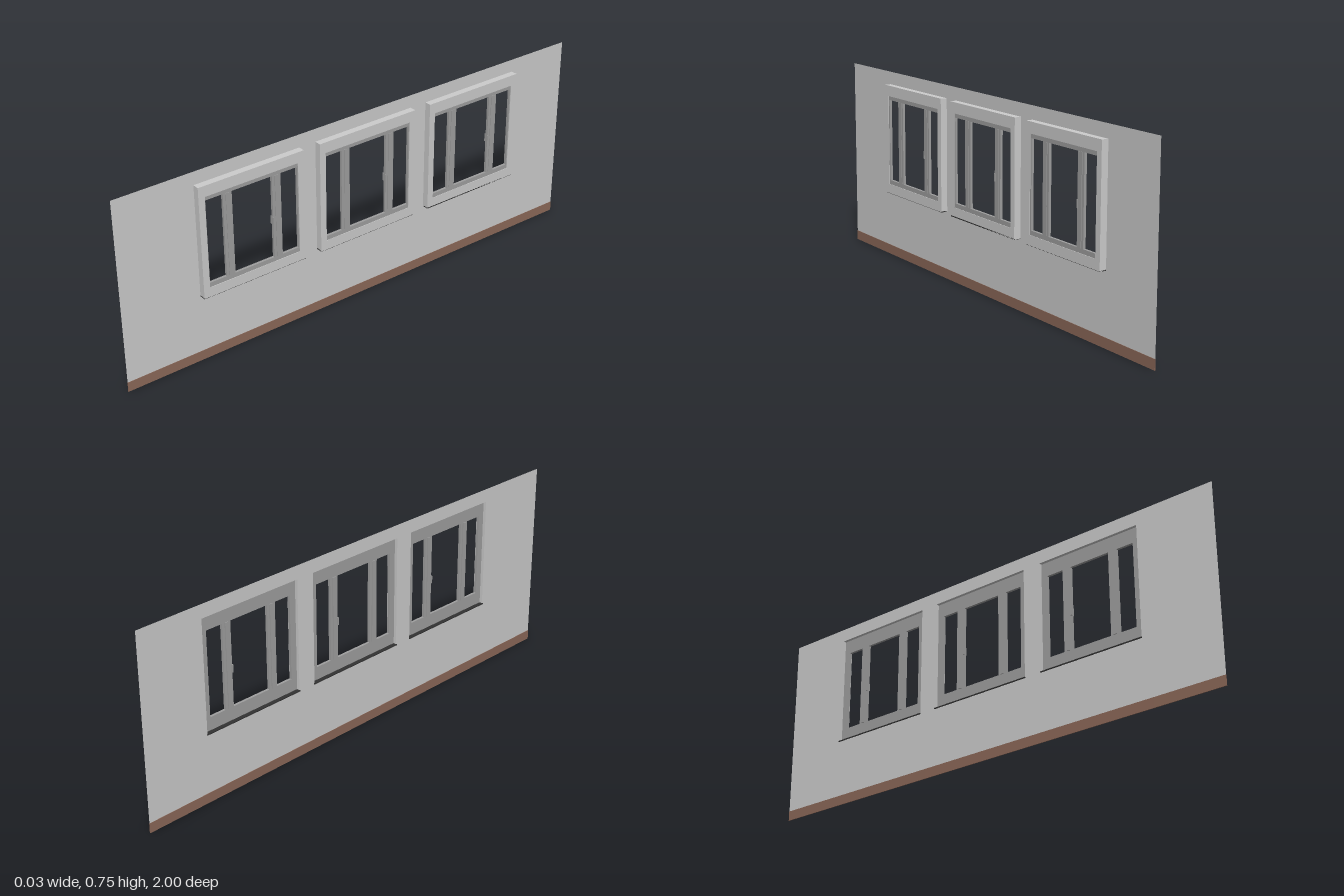
import * as THREE from 'three';

const wallMat = new THREE.MeshStandardMaterial({ color: 0xcccccc, side: THREE.DoubleSide });
wallMat.name = 'wallGrey';
const frameMat = new THREE.MeshStandardMaterial({ color: 0x9f9f9f });
frameMat.name = 'frameGrey';
const sillMat = new THREE.MeshStandardMaterial({ color: 0x333333 });
sillMat.name = 'darkSill';
const woodMat = new THREE.MeshStandardMaterial({ color: 0x8b6858 });
woodMat.name = 'skirtingBrown';

const WALL_X = -0.012, FRONT_X = 0.014;
const HALF = 0.215, BOTTOM = 0.265, TOP = 0.7;
const CENTRES = [0.477, -0.022, -0.522];

// Rectangle outline in the wall plane, from z0 to z1 and y0 to y1 (shape x is -z)
function rect(Type, z0, z1, y0, y1) {
  const p = new Type();
  p.moveTo(-z0, y0);
  p.lineTo(-z1, y0);
  p.lineTo(-z1, y1);
  p.lineTo(-z0, y1);
  p.closePath();
  return p;
}

// Upright sheet or slab with rectangular holes, facing +x
function slab(name, mat, outer, holes, x, depth) {
  const shape = rect(THREE.Shape, ...outer);
  holes.forEach(h => shape.holes.push(rect(THREE.Path, ...h)));
  const geo = depth
    ? new THREE.ExtrudeGeometry(shape, { depth, bevelEnabled: false })
    : new THREE.ShapeGeometry(shape);
  geo.rotateY(Math.PI / 2);
  const mesh = new THREE.Mesh(geo, mat);
  mesh.name = name;
  mesh.position.x = x;
  return mesh;
}

// Box given by its extents
function box(name, mat, x0, x1, y0, y1, z0, z1) {
  const mesh = new THREE.Mesh(new THREE.BoxGeometry(x1 - x0, y1 - y0, z1 - z0), mat);
  mesh.name = name;
  mesh.position.set((x0 + x1) / 2, (y0 + y1) / 2, (z0 + z1) / 2);
  return mesh;
}

function createWindow() {
  const g = new THREE.Group();
  g.name = 'window';

  // Shallow casing projecting from the wall
  g.add(slab('casingFront', wallMat, [HALF, -HALF, BOTTOM, TOP],
    [[0.19, -0.19, 0.302, 0.658]], FRONT_X - 0.002, 0.002));
  for (const s of [-1, 1]) {
    const a = s * HALF, b = s * (HALF - 0.002);
    g.add(box('casingSide', wallMat, WALL_X, FRONT_X - 0.002, BOTTOM, TOP, Math.min(a, b), Math.max(a, b)));
  }
  g.add(box('casingTop', wallMat, WALL_X, FRONT_X - 0.002, TOP - 0.002, TOP, -HALF + 0.002, HALF - 0.002));

  // Sill closing the bottom, with a small lip on the inner side
  g.add(box('sill', sillMat, -0.015, FRONT_X, BOTTOM - 0.001, BOTTOM + 0.003, -HALF, HALF));

  // Three-light frame behind the casing front
  const y0 = 0.318, y1 = 0.642;
  const panes = [[0.187, 0.118, y0, y1], [0.082, -0.082, y0, y1], [-0.118, -0.187, y0, y1]];
  g.add(slab('frame', frameMat, [HALF - 0.002, -HALF + 0.002, BOTTOM + 0.003, TOP - 0.002],
    panes, 0, 0.01));

  // Raised cover strips on the mullions
  for (const s of [-1, 1])
    g.add(box('mullionStrip', frameMat, -0.003, 0.012, y0, y1, s * 0.1 - 0.007, s * 0.1 + 0.007));

  // Handle on the middle sash
  g.add(box('handle', frameMat, -0.005, 0.012, 0.45, 0.48, -0.086, -0.081));
  return g;
}

export function createModel() {
  const model = new THREE.Group();
  model.name = 'windowWall';

  // Thin wall with three openings
  model.add(slab('wall', wallMat, [1, -1, 0, 0.75],
    CENTRES.map(c => [c + HALF, c - HALF, BOTTOM, TOP]), WALL_X, 0));

  // Windows
  CENTRES.forEach(c => {
    const w = createWindow();
    w.position.z = c;
    model.add(w);
  });

  // Skirting board in lengths, on both faces of the wall
  const joints = [-1, -0.776, -0.276, 0.224, 0.724, 1];
  for (let i = 0; i < joints.length - 1; i++)
    model.add(box('skirting', woodMat, WALL_X - 0.0015, WALL_X + 0.0015, 0, 0.038, joints[i], joints[i + 1]));

  return model;
}
